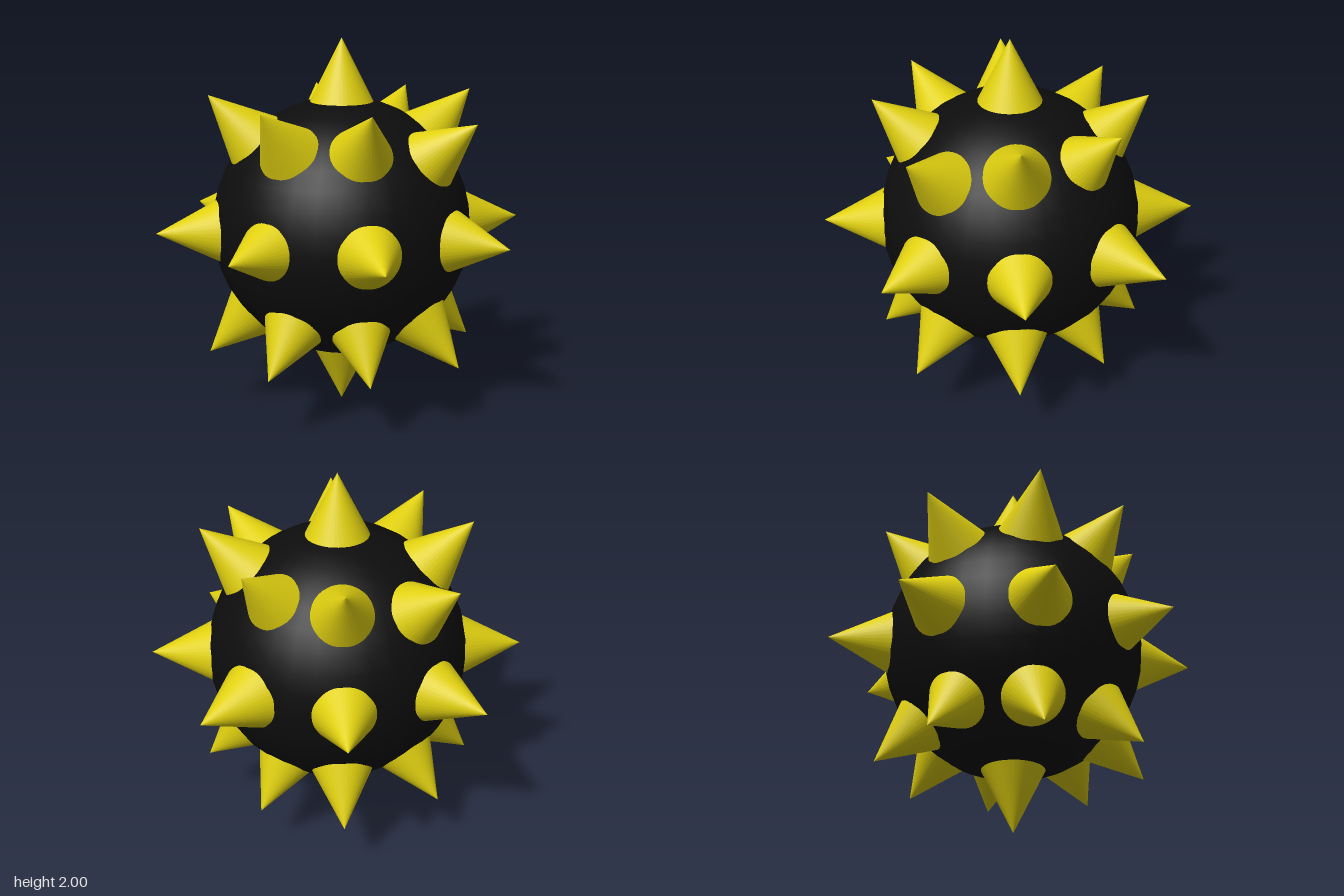
import * as THREE from 'three';

export function createModel() {
  const model = new THREE.Group();
  const centre = new THREE.Vector3(0, 1, 0);
  const up = new THREE.Vector3(0, 1, 0);
  const black = new THREE.MeshStandardMaterial({ color: 0x0d0d0d });
  const yellow = new THREE.MeshStandardMaterial({ color: 0xe0d010 });

  // Round body
  const body = new THREE.Mesh(new THREE.SphereGeometry(0.69, 32, 20), black);
  body.name = 'body';
  body.position.copy(centre);
  model.add(body);

  // One cone shared by all spikes: origin at the tip, base sunk into the body
  const height = 0.5;
  const cone = new THREE.ConeGeometry(height * 0.5, height, 40, 1);
  cone.translate(0, -height / 2, 0);

  // Spike tips relative to the centre of the body, slightly irregular
  const tips = {
    axisSpike: [
      [0, 1, 0], [0, -1, 0], [0.99, 0, 0], [-0.99, 0, 0], [0, 0, 0.99], [0, 0, -0.99],
    ],
    diagonalSpike: [
      [-0.70, 0.72, 0], [0.70, 0.715, 0], [-0.725, -0.67, 0], [0.72, -0.67, 0],
      [0, 0.695, 0.70], [0, 0.673, -0.717], [0, -0.67, 0.70], [0, -0.67, -0.717],
      [-0.69, 0, 0.675], [0.715, 0, 0.675], [0.70, 0, -0.72], [-0.70, 0, -0.70],
    ],
    cornerSpike: [
      [-0.50, 0.69, 0.50], [0.575, 0.61, 0.53], [0.48, 0.675, -0.50], [-0.557, 0.60, -0.56],
      [-0.49, -0.65, 0.55], [0.51, -0.667, 0.53], [0.43, -0.717, -0.48], [-0.507, -0.653, -0.515],
    ],
  };

  for (const [name, list] of Object.entries(tips)) {
    list.forEach((p, i) => {
      const tip = new THREE.Vector3(...p);
      const spike = new THREE.Mesh(cone, yellow);
      spike.name = name + (i + 1);
      spike.quaternion.setFromUnitVectors(up, tip.clone().normalize());
      spike.position.copy(tip).add(centre);
      model.add(spike);
    });
  }
  return model;
}
